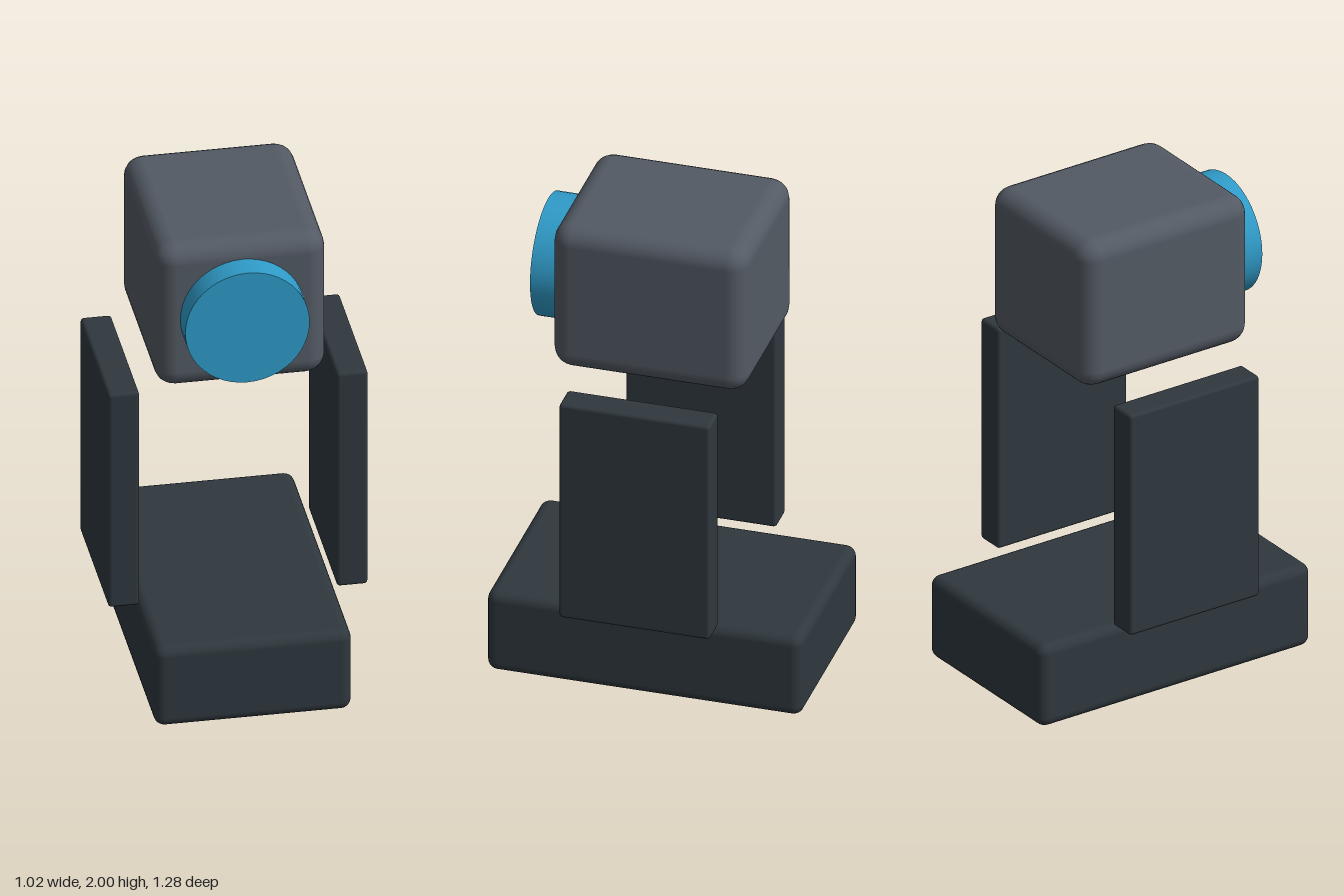
import * as THREE from 'three';
import { RoundedBoxGeometry } from 'three/addons/geometries/RoundedBoxGeometry.js';

const paint = (name, color) => {
  const material = new THREE.MeshStandardMaterial({ color });
  material.name = name;
  return material;
};

export function createModel() {
  const model = new THREE.Group();
  model.name = 'movingHeadLight';

  const charcoal = paint('charcoal', 0x2f383e);
  const grey = paint('slate grey', 0x535a64);
  const blue = paint('lens blue', 0x2f9bc8);

  const add = (name, geometry, material, x, y, z) => {
    const mesh = new THREE.Mesh(geometry, material);
    mesh.name = name;
    mesh.position.set(x, y, z);
    model.add(mesh);
    return mesh;
  };

  // Base block
  add('base', new RoundedBoxGeometry(0.776, 0.355, 1.276, 3, 0.042), charcoal, 0, 0.1775, 0);

  // Pair of upright yoke arms
  for (const [name, side] of [['leftArm', 1], ['rightArm', -1]]) {
    add(name, new RoundedBoxGeometry(0.122, 0.957, 0.61, 2, 0.014), charcoal, side * 0.45, 0.843, 0);
  }

  // Lamp head
  add('head', new RoundedBoxGeometry(0.67, 0.634, 0.788, 3, 0.078), grey, 0, 1.683, 0);

  // Round lens, set partly into the head
  const lens = add('lens', new THREE.CylinderGeometry(0.245, 0.245, 0.2, 48), blue, 0, 1.683, 0.401);
  lens.rotation.x = Math.PI / 2;

  return model;
}
